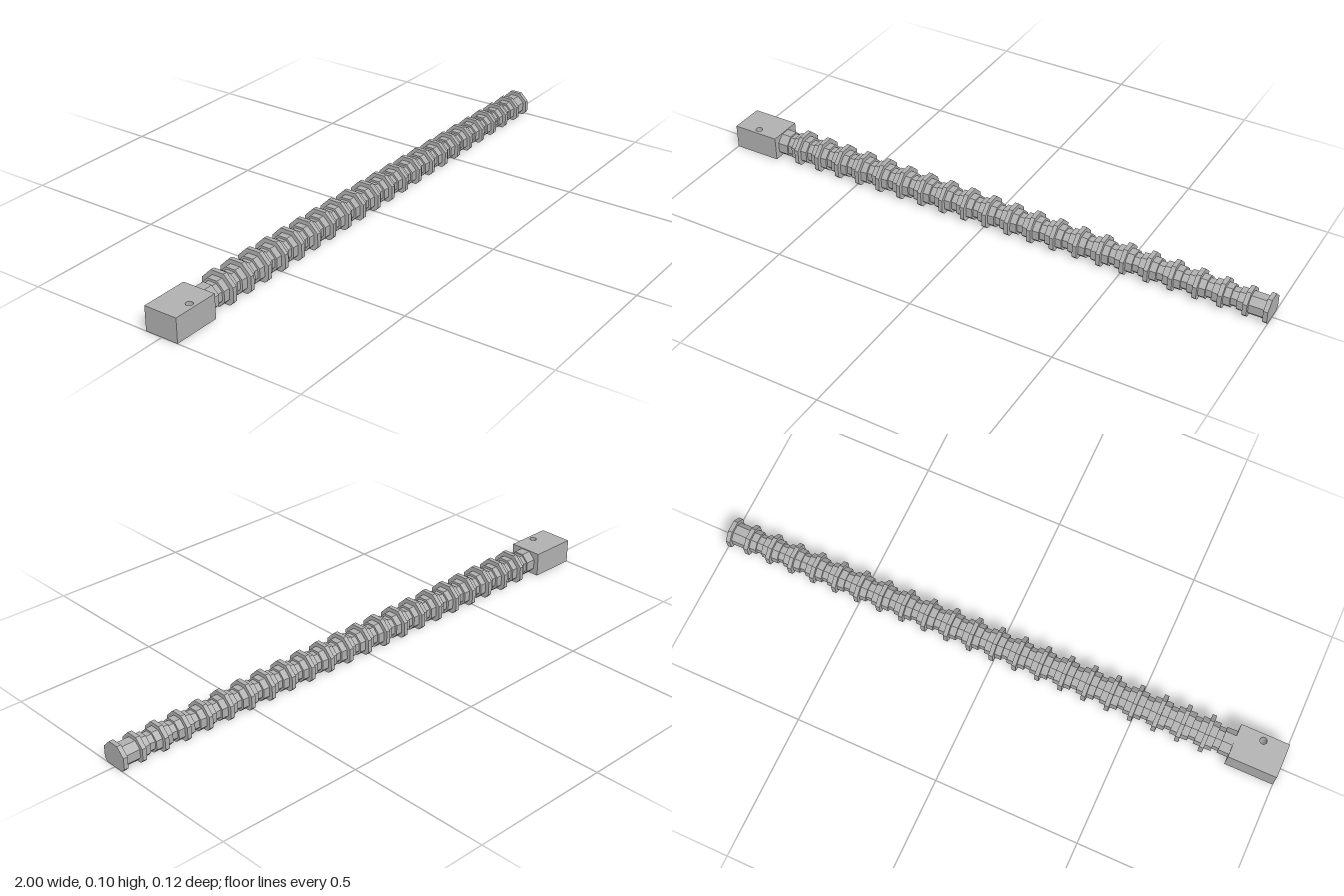
import * as THREE from 'three';

const FIRST = -0.743, PITCH = 0.0834, COUNT = 21;
const FIN = 0.06, COLLAR = 0.045, CORE = 0.037;

export function createModel() {
  const group = new THREE.Group();
  const grey = new THREE.MeshStandardMaterial({ color: 0xb0b0b0, flatShading: true });
  grey.name = 'plain grey';

  function add(name, geometry) {
    const mesh = new THREE.Mesh(geometry, grey);
    mesh.name = name;
    group.add(mesh);
  }

  // The rod shrinks gently towards its free end
  const taper = x => 1 - 0.2 * THREE.MathUtils.clamp((x - FIRST) / (1 - FIRST), 0, 1);

  // Octagonal slice along x, cut flat where it meets y = 0
  function slice(name, x0, x1, apothem) {
    const s = taper((x0 + x1) / 2);
    const a = apothem * s, h = a * Math.tan(Math.PI / 8), cy = 0.04 * s;
    const bottom = Math.max(0, cy - a);
    const foot = a + h - (cy - bottom);
    const half = [[foot, bottom], [a, cy - h], [a, cy + h], [h, cy + a]];
    const outline = [...half, ...half.map(([z, y]) => [-z, y]).reverse()];
    const shape = new THREE.Shape(outline.map(([z, y]) => new THREE.Vector2(z, y)));
    const geometry = new THREE.ExtrudeGeometry(shape, { depth: x1 - x0, bevelEnabled: false });
    geometry.rotateY(Math.PI / 2).translate(x0, 0, 0);
    add(name, geometry);
  }

  // End block with a vertical bolt hole
  const block = new THREE.Shape();
  block.moveTo(-1, -0.06);
  block.lineTo(-0.832, -0.06);
  block.lineTo(-0.832, 0.06);
  block.lineTo(-1, 0.06);
  block.closePath();
  const hole = new THREE.Path();
  hole.absarc(-0.917, -0.037, 0.012, 0, Math.PI * 2, true);
  block.holes.push(hole);
  const blockGeometry = new THREE.ExtrudeGeometry(block, { depth: 0.085, bevelEnabled: false, curveSegments: 10 });
  blockGeometry.rotateX(-Math.PI / 2);
  add('endBlock', blockGeometry);

  // Neck next to the block
  slice('neck', -0.832, -0.795, 0.042);

  // Repeating core, collar and fin
  for (let i = 0; i < COUNT; i++) {
    const x = FIRST + i * PITCH;
    const last = i === COUNT - 1;
    slice('core', x - 0.053, x - 0.031, CORE);
    slice('collarBefore', x - 0.031, x - 0.0075, COLLAR);
    slice('fin', x - 0.0075, x + 0.0075, FIN);
    slice('collarAfter', x + 0.0075, last ? 0.985 : x + 0.0304, COLLAR);
  }

  // Closing fin at the free end
  slice('endFin', 0.985, 1, FIN);
  return group;
}
